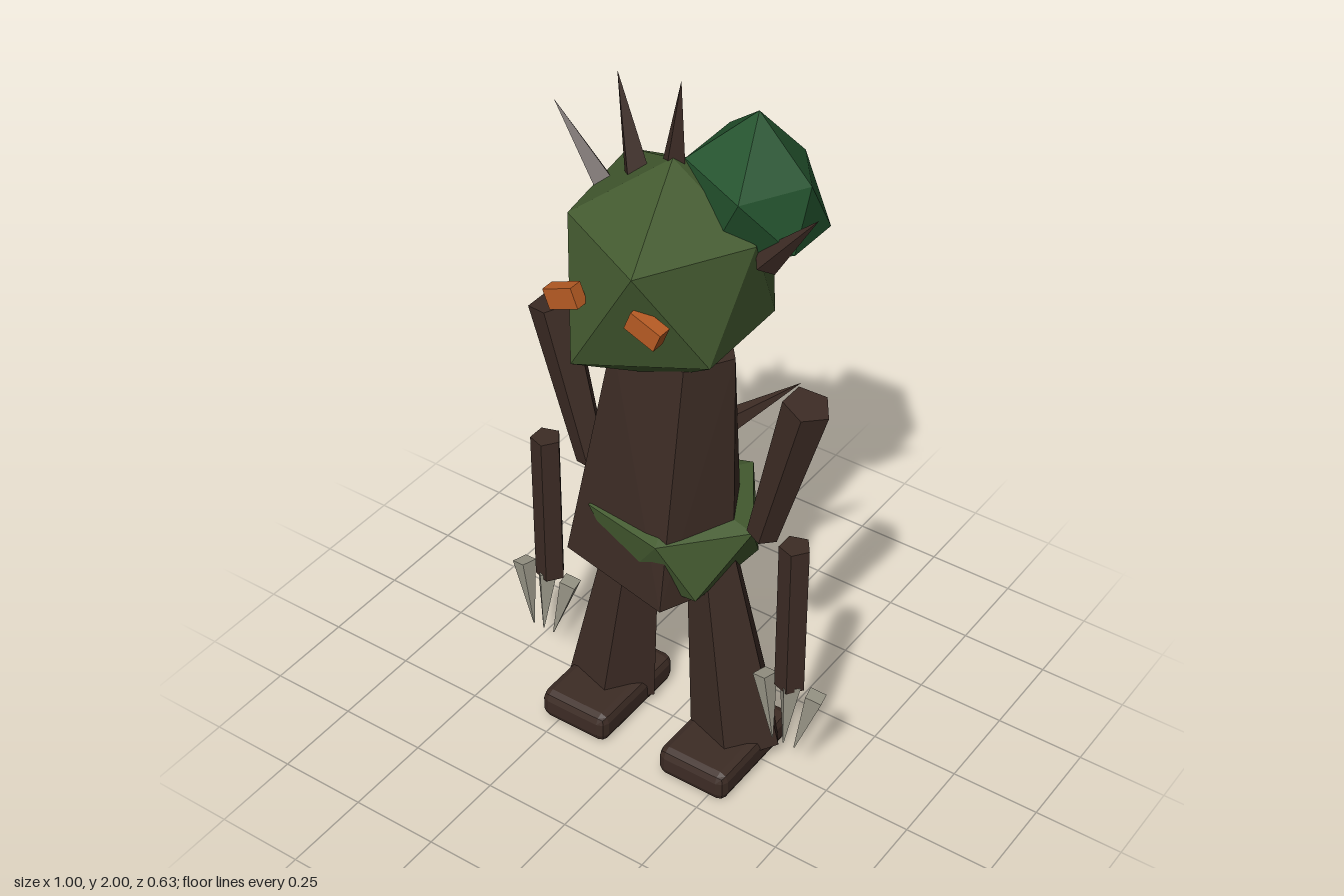
import * as THREE from 'three';
import { ConvexGeometry } from 'three/addons/geometries/ConvexGeometry.js';
import { RoundedBoxGeometry } from 'three/addons/geometries/RoundedBoxGeometry.js';

const paint = (color) => new THREE.MeshStandardMaterial({ color, flatShading: true, roughness: 0.9 });
const V = (p) => new THREE.Vector3(...p);

export function createModel() {
  const model = new THREE.Group();
  model.name = 'treeCreature';
  const bark = paint(0x3d2c25), moss = paint(0x455c31), leaf = paint(0x24542f);
  const amber = paint(0xb85c24), bone = paint(0x9a9788);

  const add = (name, geometry, material) => {
    const mesh = new THREE.Mesh(geometry, material);
    mesh.name = name;
    model.add(mesh);
    return mesh;
  };

  // Faceted solid from a few corner points
  const hull = (name, points, material) => add(name, new ConvexGeometry(points.map(V)), material);

  // Tapered prism from one point to another; a zero radius makes a spike
  const limb = (name, from, to, r0, r1, sides, material) => {
    const a = V(from), b = V(to);
    const dir = b.clone().sub(a);
    const mesh = add(name, new THREE.CylinderGeometry(r1, r0, dir.length(), sides, 1, false, Math.PI / 2), material);
    mesh.position.copy(a).add(b).multiplyScalar(0.5);
    mesh.quaternion.setFromUnitVectors(new THREE.Vector3(0, 1, 0), dir.normalize());
    return mesh;
  };

  // Trunk: uneven five-sided taper
  hull('trunk', [
    [0.172, 1.28, -0.02], [0.1, 1.28, 0.1], [-0.12, 1.28, 0.09], [-0.12, 1.28, -0.1], [0.07, 1.28, -0.14],
    [0.178, 0.56, -0.02], [0.08, 0.55, 0.175], [-0.257, 0.57, 0.12], [-0.25, 0.57, -0.13], [0.08, 0.55, -0.205],
  ], bark);

  // Head: irregular twenty-faced lump
  hull('head', [
    [0, 1.8, 0],
    [0.1, 1.665, 0.31], [-0.2, 1.655, 0.15], [-0.268, 1.64, -0.19], [0.09, 1.65, -0.29], [0.237, 1.64, 0],
    [-0.09, 1.345, 0.298], [0.214, 1.37, 0.155], [0.2, 1.36, -0.15], [-0.1, 1.34, -0.303], [-0.279, 1.36, 0],
    [0, 1.17, 0],
  ], moss);

  // Leaf tuft on the side of the head
  hull('leafTuft', [
    [0.157, 1.92, -0.125],
    [0.22, 1.775, 0.055], [0.01, 1.785, -0.035], [0, 1.78, -0.24], [0.2, 1.76, -0.265], [0.31, 1.77, -0.12],
    [0.11, 1.57, 0.015], [0.315, 1.62, -0.045], [0.3, 1.6, -0.23], [0.095, 1.59, -0.318], [-0.02, 1.61, -0.17],
    [0.16, 1.51, -0.14],
  ], leaf);

  // Moss belt: flattened lump around the waist
  hull('mossBelt', [
    [0, 0.83, -0.02],
    [0.07, 0.765, 0.18], [-0.18, 0.755, 0.125], [-0.2, 0.75, -0.17], [0.08, 0.765, -0.257], [0.235, 0.755, -0.02],
    [-0.06, 0.58, 0.13], [0.15, 0.58, 0.115], [0.17, 0.58, -0.15], [-0.07, 0.575, -0.225], [-0.2, 0.59, -0.02],
    [0, 0.497, 0],
  ], moss);

  for (const s of [-1, 1]) {
    const side = s < 0 ? 'right' : 'left';

    // Legs and chamfered feet
    limb(side + 'Leg', [s * 0.205, 0.045, -0.018], [s * 0.115, 0.68, -0.01], 0.13, 0.066, 5, bark);
    const foot = add(side + 'Foot', new RoundedBoxGeometry(0.215, 0.09, 0.335, 1, 0.025), bark);
    foot.position.set(s * 0.195, 0.045, 0.037);

    // Arms
    limb(side + 'UpperArm', [s * 0.268, 0.778, -0.015], [s * 0.385, 1.233, -0.015], 0.043, 0.063, 5, bark);
    limb(side + 'Forearm', [s * 0.39, 0.35, 0.025], [s * 0.39, 0.82, 0.025], 0.042, 0.042, 5, bark);

    // Claws converging downwards
    for (const k of [-1, 0, 1]) {
      limb(side + 'Claw', [s * 0.396 + k * 0.079, 0.36, 0.035], [s * 0.396 + k * 0.034, 0.17, 0.06], 0.032, 0.002, 4, bone);
    }

    // Slanted eyes
    const eye = add(side + 'Eye', new THREE.BoxGeometry(0.09, 0.055, 0.038), amber);
    eye.position.set(s * 0.118, 1.52, 0.276);
    eye.rotation.z = -s * 0.38;
  }

  // Crown spikes and back thorns: base, tip, radius
  const spikes = [
    ['crownSpike', [-0.2, 1.62, -0.02], [-0.363, 1.83, -0.02], 0.038],
    ['crownSpike', [-0.115, 1.7, -0.02], [-0.172, 1.97, -0.02], 0.04],
    ['crownSpike', [-0.012, 1.75, -0.02], [0.01, 2, -0.02], 0.035],
    ['crownSpike', [0.25, 1.59, -0.02], [0.393, 1.76, -0.02], 0.036],
    ['backThorn', [0.03, 1.15, -0.11], [0.05, 1.28, -0.225], 0.03],
    ['backThorn', [0.12, 1.03, -0.09], [0.237, 1.11, -0.225], 0.03],
    ['backThorn', [-0.16, 0.86, -0.13], [-0.225, 0.92, -0.225], 0.025],
  ];
  for (const [name, from, to, r] of spikes) limb(name, from, to, r, 0, 4, bark);

  return model;
}
